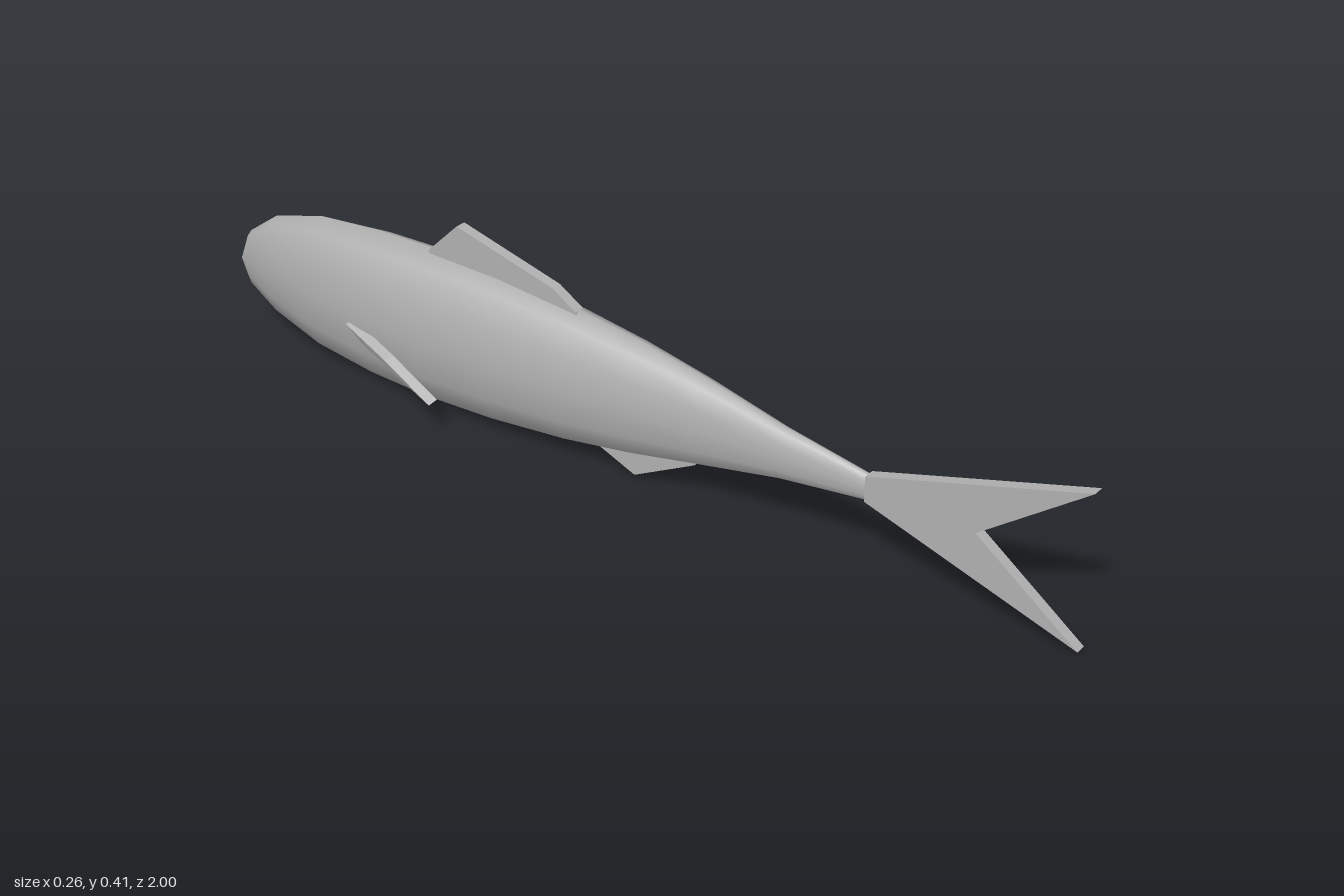
import * as THREE from 'three';

const gray = new THREE.MeshStandardMaterial({ color: 0xb0b0b0 });
gray.name = 'gray';

// Body skin through elliptical rings, each [z, bottom, top, half width]
function bodyGeometry() {
  const sides = 12;
  const rings = [
    [-0.995, 0.15, 0.15, 0], [-0.96, 0.097, 0.225, 0.022], [-0.88, 0.056, 0.283, 0.047],
    [-0.75, 0.02, 0.32, 0.069], [-0.6, 0.005, 0.334, 0.082], [-0.45, 0.002, 0.338, 0.087],
    [-0.28, 0.01, 0.335, 0.084], [-0.1, 0.029, 0.32, 0.075], [0.05, 0.053, 0.301, 0.061],
    [0.2, 0.084, 0.274, 0.044], [0.38, 0.121, 0.233, 0.025], [0.57, 0.146, 0.2, 0.011],
    [0.575, 0.173, 0.173, 0],
  ];
  const pos = [], index = [];
  for (const [z, lo, hi, w] of rings) {
    for (let i = 0; i < sides; i++) {
      const a = (i / sides) * Math.PI * 2;
      pos.push(w * Math.sin(a), (lo + hi) / 2 + ((hi - lo) / 2) * Math.cos(a), z);
    }
  }
  for (let r = 0; r < rings.length - 1; r++) {
    for (let i = 0; i < sides; i++) {
      const j = (i + 1) % sides;
      const a = r * sides + i, b = r * sides + j, c = a + sides, d = b + sides;
      if (r > 0) index.push(a, c, b);
      if (r < rings.length - 2) index.push(b, c, d);
      else if (r === 0) index.push(b, c, d);
    }
  }
  const g = new THREE.BufferGeometry();
  g.setAttribute('position', new THREE.Float32BufferAttribute(pos, 3));
  g.setIndex(index);
  g.computeVertexNormals();
  return g;
}

// Flat plate of the given thickness, centred on its plane
function plate(points, depth) {
  const shape = new THREE.Shape(points.map(([x, y]) => new THREE.Vector2(x, y)));
  return new THREE.ExtrudeGeometry(shape, { depth, bevelEnabled: false }).translate(0, 0, -depth / 2);
}

export function createModel() {
  const group = new THREE.Group();
  group.name = 'fish';
  const add = (name, geometry) => {
    const mesh = new THREE.Mesh(geometry, gray);
    mesh.name = name;
    group.add(mesh);
    return mesh;
  };

  add('body', bodyGeometry());

  // Upright fins on the centre plane, outlined as [z, y]
  const uprightFins = {
    tailFin: [[0.56, 0.147], [1, 0.01], [0.786, 0.17], [1, 0.333], [0.56, 0.2]],
    dorsalFin: [[-0.08, 0.3], [-0.09, 0.318], [-0.145, 0.352], [-0.38, 0.412], [-0.455, 0.338], [-0.45, 0.3]],
    analFin: [[0.19, 0.084], [0.05, 0.01], [-0.04, 0.046], [0, 0.1], [0.17, 0.12]],
  };
  for (const [name, outline] of Object.entries(uprightFins)) {
    add(name, plate(outline, 0.023).rotateY(-Math.PI / 2));
  }

  // Side fins sweep back, outward and down from the body
  const n = new THREE.Vector3(0.9, -0.35, -0.27).normalize();
  const u = new THREE.Vector3(0.045, -0.078, 0.255);
  const length = u.length();
  u.normalize();
  const v = new THREE.Vector3().crossVectors(n, u).normalize();
  n.crossVectors(u, v);
  const frame = new THREE.Matrix4().makeBasis(u, v, n).setPosition(0.085, 0.15, -0.62);
  const fin = plate([[0, 0], [0.13, -0.008], [length, 0], [0.051, 0.02]], 0.02)
    .translate(0, 0, -0.01)
    .applyMatrix4(frame);
  add('leftSideFin', fin);
  add('rightSideFin', fin).scale.x = -1;

  return group;
}
